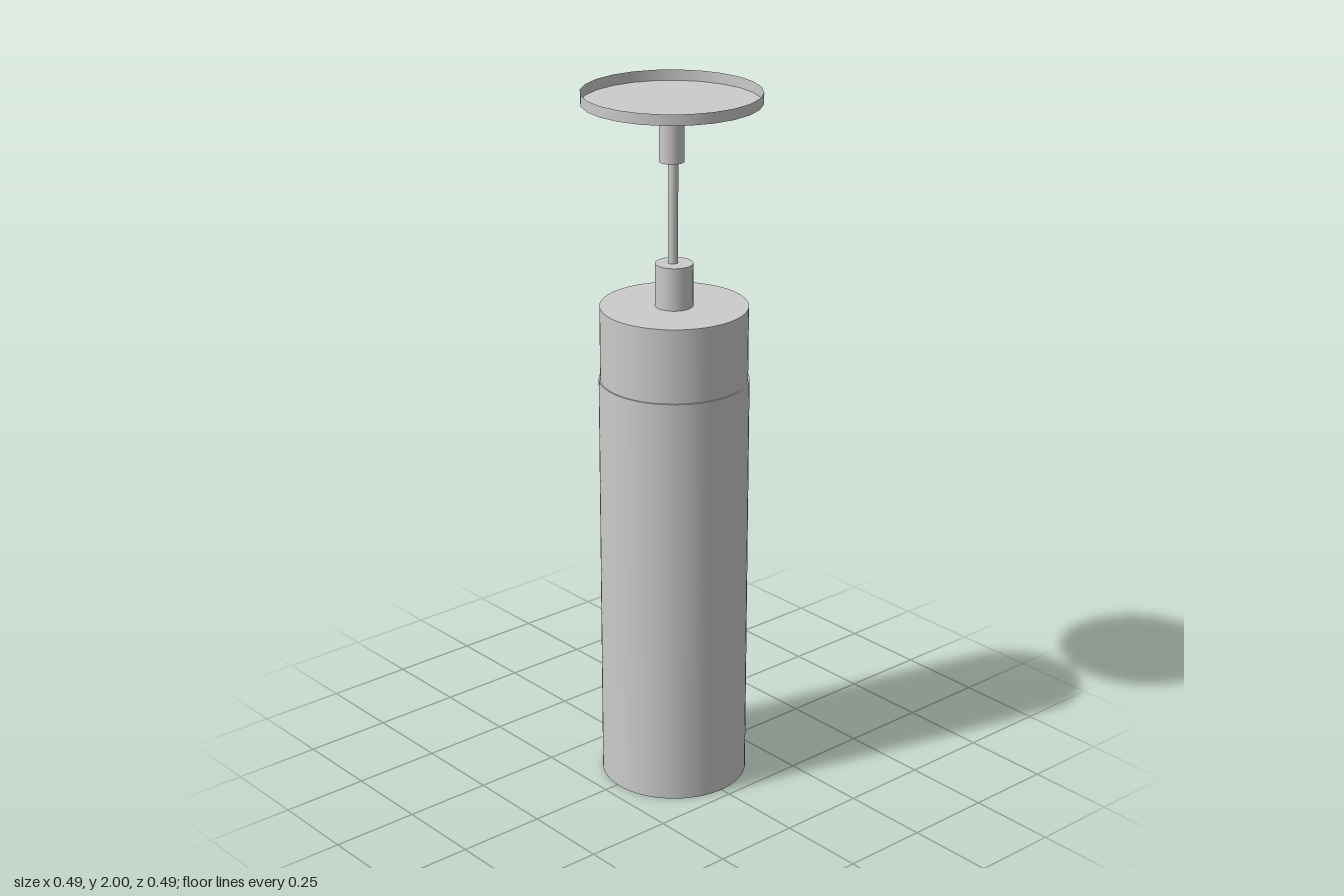
import * as THREE from 'three';

const grey = new THREE.MeshStandardMaterial({ color: 0xcccccc });
const greyDouble = new THREE.MeshStandardMaterial({ color: 0xcccccc, side: THREE.DoubleSide });

export function createModel() {
  const group = new THREE.Group();

  const add = (parent, name, geometry, material = grey) => {
    const mesh = new THREE.Mesh(geometry, material);
    mesh.name = name;
    parent.add(mesh);
    return mesh;
  };

  // Upright cylinder between two heights
  const rod = (parent, name, radius, y0, y1, sides = 32, open = false) => {
    const mesh = add(parent, name,
      new THREE.CylinderGeometry(radius, radius, y1 - y0, sides, 1, open),
      open ? greyDouble : grey);
    mesh.position.y = (y0 + y1) / 2;
    return mesh;
  };

  // Flat horizontal ring or disc
  const ring = (parent, name, inner, outer, y, sides) => {
    const geometry = inner > 0
      ? new THREE.RingGeometry(inner, outer, sides)
      : new THREE.CircleGeometry(outer, sides);
    const mesh = add(parent, name, geometry.rotateX(-Math.PI / 2), greyDouble);
    mesh.position.y = y;
  };

  // Ceiling canopy: shallow dish, open at the top
  const canopy = new THREE.Group();
  canopy.name = 'canopy';
  rod(canopy, 'canopyWall', 0.243, 1.97, 2, 24, true);
  ring(canopy, 'canopyPlate', 0, 0.243, 1.97, 24);
  group.add(canopy);

  // Suspension
  rod(group, 'canopySleeve', 0.034, 1.81, 1.97, 24);
  rod(group, 'cord', 0.014, 1.5, 1.83, 16).position.z = 0.005;

  // Lamp body sits slightly forward of the canopy centre
  const lamp = new THREE.Group();
  lamp.name = 'lamp';
  lamp.position.z = 0.01;
  group.add(lamp);
  rod(lamp, 'cordGrip', 0.052, 1.41, 1.53, 32);
  rod(lamp, 'housing', 0.203, 1.19, 1.41, 64);

  // Thin-walled shade, open at the bottom
  const shade = new THREE.Group();
  shade.name = 'shade';
  rod(shade, 'shadeOuterWall', 0.207, 0, 1.2, 64, true);
  rod(shade, 'shadeInnerWall', 0.202, 0, 1.2, 64, true);
  ring(shade, 'shadeBottomRim', 0.202, 0.207, 0, 64);
  ring(shade, 'shadeTopRim', 0.202, 0.207, 1.2, 64);
  lamp.add(shade);

  // Bulb and holder inside the shade
  rod(lamp, 'bulbHolder', 0.055, 0.5, 1.19, 24);
  const profile = [];
  for (let i = 0; i <= 12; i++) {
    const a = (i / 12) * 2.1;
    profile.push(new THREE.Vector2(0.1 * Math.sin(a), 0.235 - 0.1 * Math.cos(a)));
  }
  profile.push(new THREE.Vector2(0.058, 0.37), new THREE.Vector2(0.045, 0.5));
  add(lamp, 'bulb', new THREE.LatheGeometry(profile, 32), greyDouble);

  return group;
}
